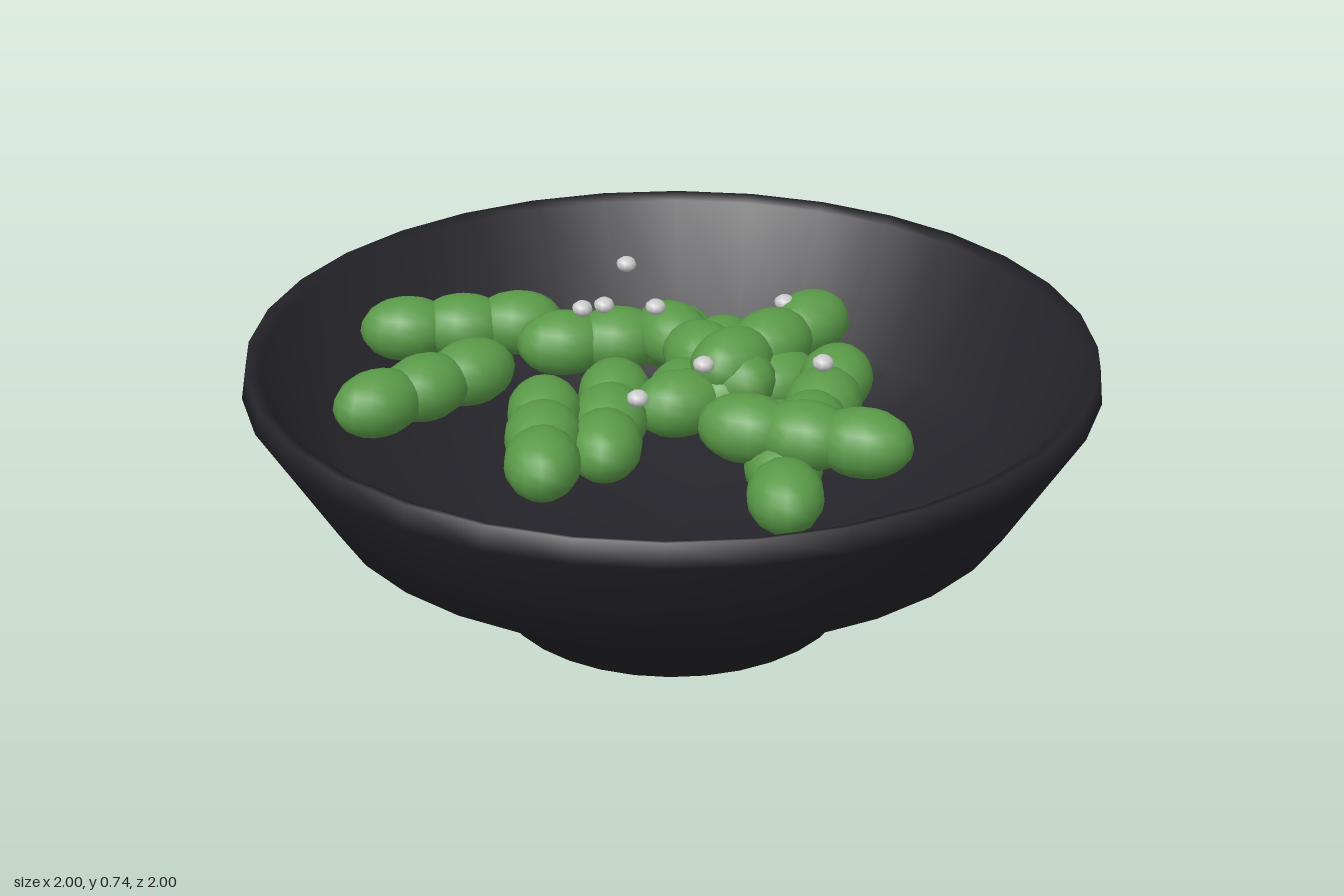
import * as THREE from 'three';

export function createModel() {
  const root = new THREE.Group();
  const bowlMat = new THREE.MeshStandardMaterial({ color: 0x24242a });
  const podMat = new THREE.MeshStandardMaterial({ color: 0x5a9a48 });
  const saltMat = new THREE.MeshStandardMaterial({ color: 0xcccccc });

  // Footed bowl: outer wall up to the lip, then down the inside
  const profile = [
    [0, 0], [0.42, 0], [0.45, 0.12], [0.82, 0.305], [1, 0.595], [0.99, 0.65],
    [0.955, 0.637], [0.78, 0.35], [0.42, 0.2], [0, 0.17],
  ].map(([r, y]) => new THREE.Vector2(r, y));
  const bowl = new THREE.Mesh(new THREE.LatheGeometry(profile, 32), bowlMat);
  bowl.name = 'bowl';
  root.add(bowl);

  // Pods: first bean x, z, last bean x, z, height of centre
  const pods = [
    [-0.665, -0.065, -0.415, -0.155, 0.602],
    [-0.61, 0.345, -0.45, 0.135, 0.598],
    [-0.27, -0.035, -0.035, -0.13, 0.615],
    [-0.22, 0.345, -0.16, 0.60, 0.615],
    [-0.10, 0.165, -0.06, 0.435, 0.59],
    [-0.02, -0.09, 0.17, 0.105, 0.635],
    [0.295, -0.155, 0.16, 0.095, 0.665],
    [0.09, -0.13, 0.055, 0.125, 0.59],
    [0.06, 0.205, 0.255, 0.045, 0.60],
    [0.395, 0.055, 0.38, 0.32, 0.625],
    [0.26, 0.435, 0.52, 0.455, 0.665],
    [0.315, 0.31, 0.375, 0.595, 0.59],
  ];
  const bean = new THREE.SphereGeometry(1, 14, 10);
  pods.forEach(([x0, z0, x1, z1, y]) => {
    const pod = new THREE.Group();
    pod.name = 'pod';
    pod.position.set((x0 + x1) / 2, y, (z0 + z1) / 2);
    pod.rotation.y = -Math.atan2(z1 - z0, x1 - x0);
    const step = Math.hypot(x1 - x0, z1 - z0) / 2;
    for (let i = -1; i <= 1; i++) {
      const mesh = new THREE.Mesh(bean, podMat);
      mesh.name = 'bean';
      mesh.position.x = i * step;
      mesh.scale.set(0.112, 0.077, i ? 0.085 : 0.088);
      pod.add(mesh);
    }
    root.add(pod);
  });

  // Salt grains scattered above the pods
  const grain = new THREE.SphereGeometry(0.025, 8, 6);
  [
    [-0.175, -0.285], [-0.215, 0], [-0.17, -0.03], [-0.05, -0.045],
    [0.24, -0.135], [0.125, 0.25], [0.385, 0.185], [0.02, 0.455],
  ].forEach(([x, z]) => {
    const salt = new THREE.Mesh(grain, saltMat);
    salt.name = 'saltGrain';
    salt.position.set(x, 0.722, z);
    salt.scale.y = 0.75;
    root.add(salt);
  });

  return root;
}
